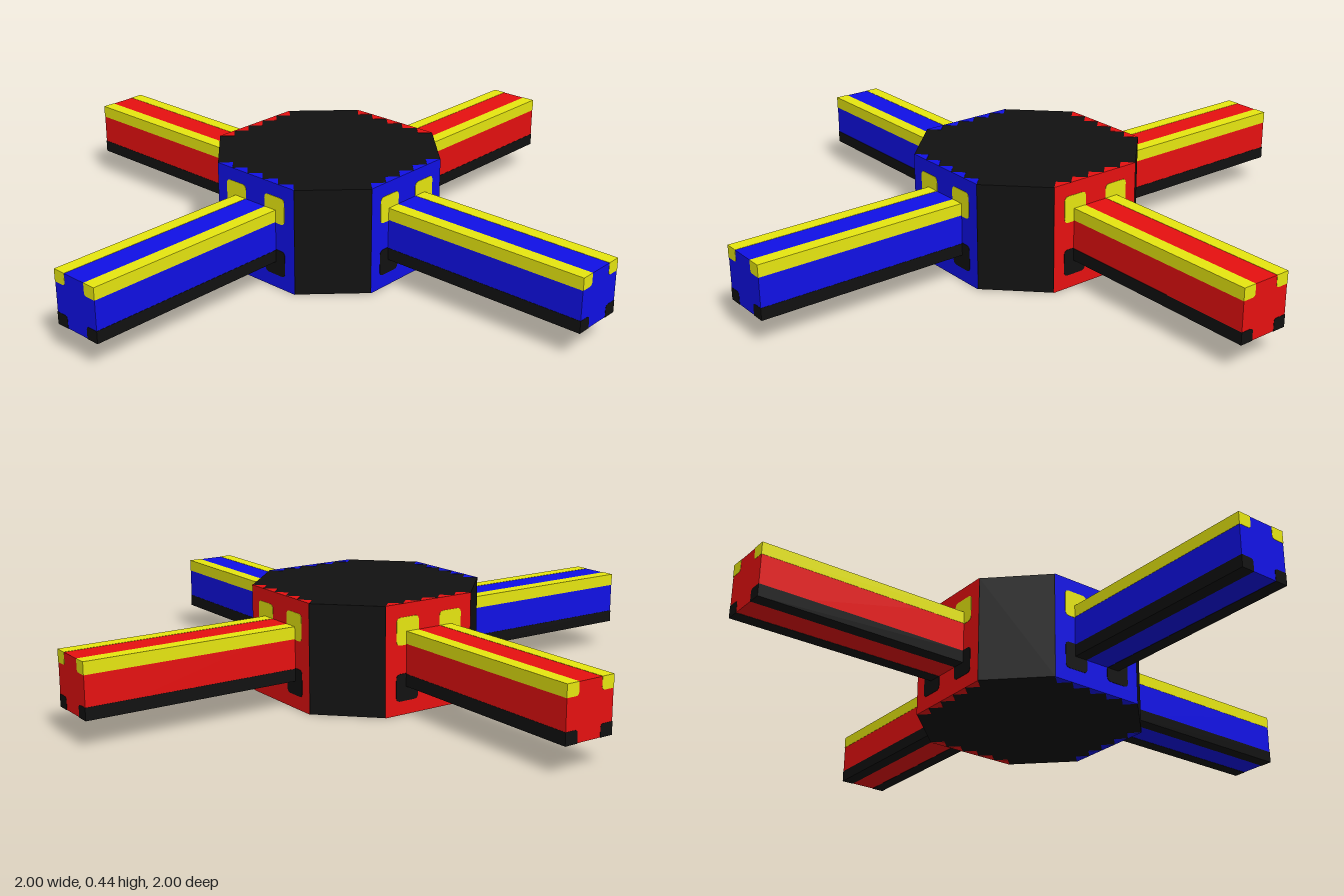
import * as THREE from 'three';

const mat = (name, color) => {
  const m = new THREE.MeshStandardMaterial({ color });
  m.name = name;
  return m;
};

const HEIGHT = 0.443, MID = 0.2225;      // hub height, arm axis height
const A = 0.442, B = 0.148;              // hub corner coordinates
const FACE = (A + B) / Math.SQRT2;       // distance to the diagonal hub faces
const FACE_W = (A - B) * Math.SQRT2;     // width of those faces
const END = 1.305, HALF = 0.11;          // arm end distance and half thickness
const STRIP_W = 0.056, STRIP_H = 0.05;

// Rectangle with rounded corners
function roundedRect(x, y, w, h, r) {
  const s = new THREE.Shape();
  s.moveTo(x + r, y);
  s.lineTo(x + w - r, y).quadraticCurveTo(x + w, y, x + w, y + r);
  s.lineTo(x + w, y + h - r).quadraticCurveTo(x + w, y + h, x + w - r, y + h);
  s.lineTo(x + r, y + h).quadraticCurveTo(x, y + h, x, y + h - r);
  s.lineTo(x, y + r).quadraticCurveTo(x, y, x + r, y);
  return s;
}

// Arm edge strip section: square outside, rounded on the inner corner
function stripShape(sx, sy) {
  const r = 0.014, ix = HALF - STRIP_W, iy = HALF - STRIP_H;
  const s = new THREE.Shape();
  s.moveTo(sx * HALF, sy * HALF);
  s.lineTo(sx * ix, sy * HALF);
  s.lineTo(sx * ix, sy * (iy + r));
  s.quadraticCurveTo(sx * ix, sy * iy, sx * (ix + r), sy * iy);
  s.lineTo(sx * HALF, sy * iy);
  s.closePath();
  return s;
}

// Row of triangular teeth along a diagonal edge of the hub caps
function teethGeometry() {
  const n = 5, w = FACE_W / n, shapes = [];
  for (let i = 0; i < n; i++) {
    const x = -FACE_W / 2 + i * w;
    shapes.push(new THREE.Shape([
      new THREE.Vector2(x, FACE),
      new THREE.Vector2(x + w / 2, FACE - w / 2),
      new THREE.Vector2(x + w, FACE),
    ]));
  }
  return new THREE.ExtrudeGeometry(shapes, { depth: 0.002, bevelEnabled: false }).rotateX(Math.PI / 2);
}

export function createModel() {
  const black = mat('black', 0x111111);
  const yellow = mat('yellow', 0xeeee11);
  const red = mat('red', 0xee1111);
  const blue = mat('blue', 0x1111ee);

  const model = new THREE.Group();
  model.name = 'crossRotor';
  const add = (parent, name, geometry, material) => {
    const mesh = new THREE.Mesh(geometry, material);
    mesh.name = name;
    parent.add(mesh);
    return mesh;
  };

  // Eight-sided hub
  const a = A, b = B;
  const outline = [[b, a], [-b, a], [-a, b], [-a, -b], [-b, -a], [b, -a], [a, -b], [a, b]]
    .map(([x, y]) => new THREE.Vector2(x, y));
  add(model, 'hub', new THREE.ExtrudeGeometry(new THREE.Shape(outline), { depth: HEIGHT - 0.002, bevelEnabled: false })
    .rotateX(-Math.PI / 2).translate(0, 0.001, 0), black);

  // Four diagonal arms with their hub panels
  const teeth = teethGeometry();
  for (const quarter of [1, -1, 3, -3]) {
    const main = Math.abs(quarter) === 1 ? blue : red;
    const arm = new THREE.Group();
    arm.name = 'arm';
    arm.rotation.y = quarter * Math.PI / 4;
    model.add(arm);

    // Coloured hub panel and teeth
    add(arm, 'hubPanel', new THREE.PlaneGeometry(FACE_W, HEIGHT).translate(0, HEIGHT / 2, FACE + 0.001), main);
    add(arm, 'topTeeth', teeth, main).position.y = HEIGHT;
    add(arm, 'bottomTeeth', teeth, main).position.y = 0.002;

    // Arm core
    const length = END - FACE;
    add(arm, 'armCore', new THREE.BoxGeometry(HALF * 2 - 0.002, HALF * 2 - 0.002, length - 0.001)
      .translate(0, MID, FACE + (length - 0.001) / 2), main);

    // Edge strips and the socket patches behind them
    for (const sx of [1, -1]) for (const sy of [1, -1]) {
      const paint = sy > 0 ? yellow : black;
      add(arm, sy > 0 ? 'upperStrip' : 'lowerStrip',
        new THREE.ExtrudeGeometry(stripShape(sx, sy), { depth: length, bevelEnabled: false })
          .translate(0, MID, FACE), paint);
      const patch = roundedRect(sx * 0.104 - 0.053, MID + sy * 0.112 - 0.055, 0.106, 0.11, 0.02);
      add(arm, sy > 0 ? 'upperPatch' : 'lowerPatch',
        new THREE.ExtrudeGeometry(patch, { depth: 0.002, bevelEnabled: false })
          .translate(0, 0, FACE + 0.0005), paint);
    }
  }
  return model;
}
